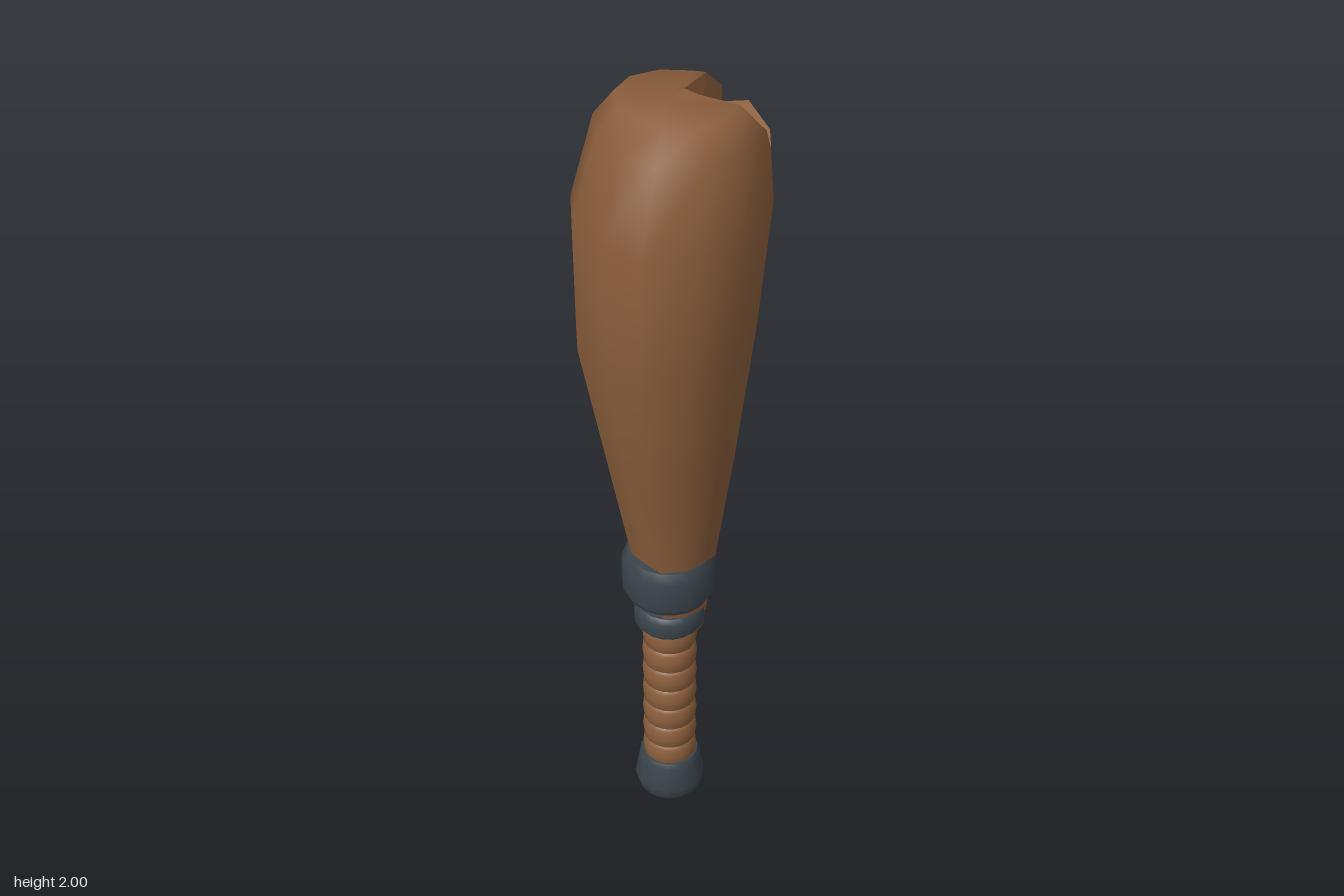
import * as THREE from 'three';
import { mergeVertices } from 'three/addons/utils/BufferGeometryUtils.js';

// Outline of the barrel at its widest, from the right-hand ridge round the back to the ridge again.
// A third number is the height at which the notch cuts that column off.
const OUTLINE = [
  [0.235, 0.008, 1.91], [0.2, -0.05, 1.9], [0.2, -0.05], [0.175, -0.09], [0.097, -0.175],
  [-0.018, -0.215], [-0.135, -0.185], [-0.22, -0.095], [-0.235, 0.008], [-0.235, 0.12],
  [-0.135, 0.198], [-0.018, 0.213], [0.097, 0.188], [0.15, 0.152, 1.87], [0.19, 0.115, 1.89],
  [0.235, 0.0085, 1.91],
];
const BACK = 2, FRONT = 12; // first and last columns of full height

// Height, left x, right x, depth scale
const ROWS = [
  [0.55, -0.07, 0.075, 0.35], [0.8, -0.112, 0.113, 0.5], [1.07, -0.165, 0.155, 0.68],
  [1.43, -0.235, 0.195, 0.93], [1.75, -0.235, 0.235, 1], [1.94, -0.17, 0.225, 0.86],
  [2.0, -0.12, 0.15, 0.64],
];

// Point on the barrel for one outline column at one height
function barrelPoint(col, height) {
  const [x, z, cut = 2] = OUTLINE[col];
  const y = Math.min(height, cut);
  let r = 0;
  while (r < ROWS.length - 2 && ROWS[r + 1][0] < y) r++;
  const t = (y - ROWS[r][0]) / (ROWS[r + 1][0] - ROWS[r][0]);
  const [, xl, xr, zs] = ROWS[r].map((v, i) => THREE.MathUtils.lerp(v, ROWS[r + 1][i], t));
  return [THREE.MathUtils.lerp(xl, xr, (x + 0.235) / 0.47), y, z * zs];
}

function geometryFrom(points, index) {
  const g = new THREE.BufferGeometry();
  g.setAttribute('position', new THREE.Float32BufferAttribute(points.flat(), 3));
  g.setIndex(index);
  return g;
}

// Flat face fanned from its first corner
function fan(points) {
  const index = [];
  for (let i = 1; i < points.length - 1; i++) index.push(0, i, i + 1);
  const g = geometryFrom(points, index).toNonIndexed();
  g.computeVertexNormals();
  return g;
}

export function createModel() {
  const group = new THREE.Group();
  const wood = new THREE.MeshStandardMaterial({ color: 0x8b5e3c });
  wood.name = 'wood';
  const iron = new THREE.MeshStandardMaterial({ color: 0x3b454c });
  iron.name = 'dark iron';

  const add = (name, geometry, material, x = 0, y = 0, z = 0) => {
    const mesh = new THREE.Mesh(geometry, material);
    mesh.name = name;
    mesh.position.set(x, y, z);
    group.add(mesh);
  };
  const lathe = (profile, sides) =>
    new THREE.LatheGeometry(profile.map(([r, y]) => new THREE.Vector2(r, y)), sides);

  // Inner corners of the broken notch
  const rimBack = [0.045, 2, -0.03], rimFront = [0.045, 2, 0.025], inner = [0.11, 1.87, -0.03];

  // Barrel: smooth skin with a sharp ridge on the right, and a top with the notch left out
  const n = OUTLINE.length, points = [], index = [];
  for (const [y] of ROWS) for (let c = 0; c < n; c++) points.push(barrelPoint(c, y));
  for (let r = 0; r < ROWS.length - 1; r++) {
    for (let c = 0; c < n - 1; c++) {
      if (c === BACK - 1) continue; // filled below
      const a = r * n + c, b = a + 1;
      index.push(a, b, b + n, a, b + n, a + n);
    }
  }
  const center = points.length, top = (ROWS.length - 1) * n;
  points.push([-0.03, 2, 0], rimFront, rimBack);
  const rim = [];
  for (let c = BACK; c <= FRONT; c++) rim.push(top + c);
  rim.push(center + 1, center + 2);
  rim.forEach((v, i) => index.push(center, v, rim[(i + 1) % rim.length]));
  const skin = mergeVertices(geometryFrom(points, index));
  skin.computeVertexNormals();
  add('barrel', skin, wood);

  // Underside of the barrel
  add('barrelBase', fan(OUTLINE.map((_, c) => barrelPoint(c, 0.55)).reverse()), wood);

  // Notch faces
  const frontLow = barrelPoint(FRONT + 1, 2);
  add('notchFloor', fan([barrelPoint(0, 2), barrelPoint(1, 2), inner, frontLow, barrelPoint(FRONT + 2, 2)]), wood);
  add('notchSlope', fan([frontLow, inner, rimBack, rimFront, barrelPoint(FRONT, 2)]), wood);
  add('notchSide', fan([inner, barrelPoint(1, 2), barrelPoint(BACK, 1.94), barrelPoint(BACK, 2), rimBack]), wood);

  // Handle made of seven wrapped turns
  const turn = 0.065;
  for (let i = 0; i < 7; i++) {
    add('gripTurn', lathe([[0.058, 0], [0.066, 0.006], [0.069, turn / 2], [0.066, turn - 0.006], [0.058, turn]], 18),
      wood, -0.028, 0.115 + i * turn, 0.008);
  }

  // Pommel
  add('pommel', lathe([[0, 0.003], [0.07, 0.003], [0.07, 0.003], [0.083, 0.018], [0.09, 0.05], [0.08, 0.1],
    [0.079, 0.118], [0.072, 0.13], [0.072, 0.13], [0, 0.13]], 14), iron, -0.028, 0, 0.008);

  // Metal bands, set off-centre so the ridge side of the barrel breaks through them
  const band = (name, r, y0, y1, x, z) => {
    const b = (y1 - y0) * 0.2;
    add(name, lathe([[r * 0.6, y0], [r * 0.88, y0], [r * 0.88, y0], [r, y0 + b], [r, y1 - b],
      [r * 0.88, y1], [r * 0.88, y1], [r * 0.6, y1]], 18), iron, x, 0, z);
  };
  band('largeBand', 0.115, 0.67, 0.8, -0.03, 0.007);
  band('smallBand', 0.088, 0.565, 0.63, -0.025, 0.004);

  return group;
}
